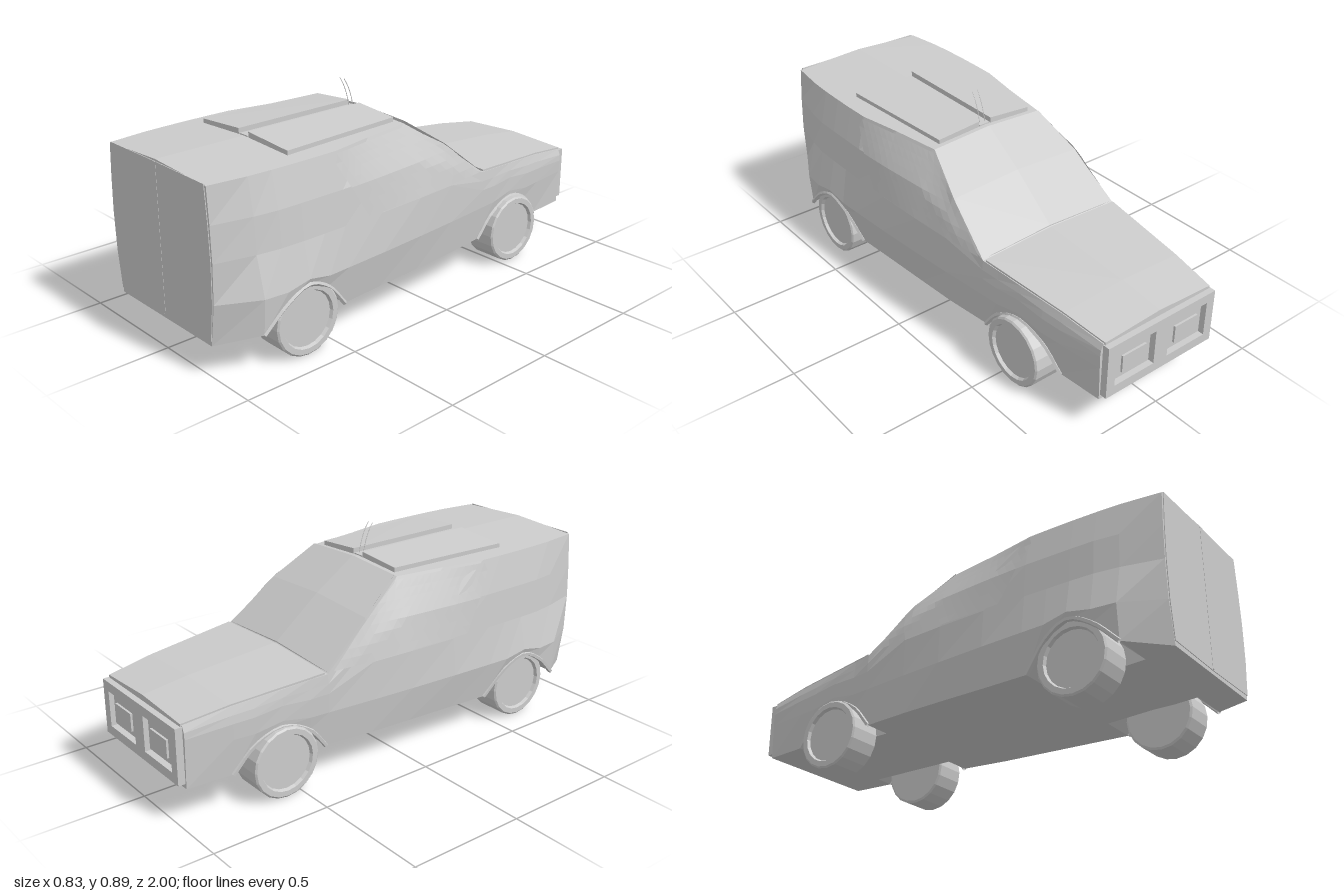
import * as THREE from 'three';
import { ConvexGeometry } from 'three/addons/geometries/ConvexGeometry.js';
import { ParametricGeometry } from 'three/addons/geometries/ParametricGeometry.js';

const flat = new THREE.MeshStandardMaterial({ color: 0xcccccc, flatShading: true, side: THREE.DoubleSide });
const smooth = new THREE.MeshStandardMaterial({ color: 0xcccccc, side: THREE.DoubleSide });
const V = (x, y, z) => new THREE.Vector3(x, y, z);
const lerp = THREE.MathUtils.lerp;

// body stations: z, floor y, arch y, half widths (sill, bulge, belt, shoulder, roof edge), top y
const stations = [
  [-0.97, 0.15, 0.15, 0.28, 0.285, 0.287, 0.285, 0.275, 0.42],
  [-0.78, 0.15, 0.15, 0.295, 0.308, 0.31, 0.305, 0.295, 0.445],
  [-0.69, 0.15, 0.25, 0.31, 0.318, 0.32, 0.315, 0.305, 0.452],
  [-0.57, 0.15, 0.295, 0.325, 0.328, 0.328, 0.325, 0.318, 0.46],
  [-0.45, 0.15, 0.245, 0.328, 0.338, 0.34, 0.335, 0.33, 0.468],
  [-0.37, 0.15, 0.15, 0.325, 0.345, 0.347, 0.345, 0.34, 0.475],
  [-0.16, 0.147, 0.147, 0.345, 0.365, 0.36, 0.345, 0.315, 0.635],
  [0.03, 0.145, 0.145, 0.355, 0.38, 0.372, 0.342, 0.268, 0.76],
  [0.25, 0.142, 0.142, 0.365, 0.395, 0.38, 0.36, 0.3, 0.76],
  [0.44, 0.14, 0.14, 0.375, 0.405, 0.383, 0.37, 0.335, 0.76],
  [0.54, 0.145, 0.25, 0.395, 0.41, 0.383, 0.37, 0.337, 0.76],
  [0.64, 0.15, 0.295, 0.405, 0.415, 0.383, 0.37, 0.337, 0.76],
  [0.74, 0.15, 0.25, 0.405, 0.415, 0.38, 0.368, 0.335, 0.76],
  [0.84, 0.155, 0.155, 0.395, 0.405, 0.365, 0.355, 0.33, 0.76],
  [1, 0.13, 0.13, 0.295, 0.32, 0.325, 0.32, 0.31, 0.76],
];

// right half of a cross-section, from floor centre to roof centre
function halfSection([z, floor, arch, w0, w1, w2, w3, wt, top]) {
  const edge = top - 0.015, y1 = Math.max(0.3, arch + 0.025);
  const y2 = Math.min(0.46, lerp(y1, edge, 0.5)), y3 = lerp(y2, edge, 0.5);
  return [[0, floor], [0.21, floor], [0.21, arch], [w0, arch], [w1, y1], [w2, y2], [w3, y3], [wt, edge], [0, top]]
    .map(([x, y]) => V(x, y, z));
}
const halves = stations.map(halfSection);

// half width of the body side at a given z and y
function sideX(z, y) {
  let j = 0;
  while (j < stations.length - 2 && stations[j + 1][0] < z) j++;
  const t = (z - stations[j][0]) / (stations[j + 1][0] - stations[j][0]);
  const pts = halves[j].slice(3, 8).map((p, i) => p.clone().lerp(halves[j + 1][i + 3], t));
  let i = 0;
  while (i < 3 && pts[i + 1].y < y) i++;
  const k = THREE.MathUtils.clamp((y - pts[i].y) / (pts[i + 1].y - pts[i].y), 0, 1);
  return lerp(pts[i].x, pts[i + 1].x, k);
}

// loft the cross-sections and cap both ends
function bodyGeometry() {
  const rings = halves.map(h => [...h, ...h.slice(1, 8).reverse().map(p => V(-p.x, p.y, p.z))]);
  const n = rings[0].length, verts = rings.flat(), index = [];
  for (let j = 0; j < rings.length - 1; j++) for (let i = 0; i < n; i++) {
    const a = j * n + i, b = j * n + (i + 1) % n;
    index.push(a, b, a + n, b, b + n, a + n);
  }
  const last = (rings.length - 1) * n;
  verts.push(V(0, 0.3, -0.97), V(0, 0.45, 1));
  for (let i = 0; i < n; i++) {
    const k = (i + 1) % n;
    index.push(verts.length - 2, k, i, verts.length - 1, last + i, last + k);
  }
  const g = new THREE.BufferGeometry().setFromPoints(verts);
  g.setIndex(index);
  g.computeVertexNormals();
  return g;
}

export function createModel() {
  const model = new THREE.Group();
  const add = (name, geometry, material = flat, parent = model) => {
    const m = new THREE.Mesh(geometry, material);
    m.name = name;
    parent.add(m);
    return m;
  };
  const hull = (name, pts) => add(name, new ConvexGeometry(pts.map(p => V(...p))));
  const both = pts => pts.flatMap(([x, y, z]) => [[x, y, z], [-x, y, z]]);

  add('body', bodyGeometry());

  // bonnet and windscreen, slightly proud of the body
  hull('bonnet', [...both([[0.27, 0.411, -0.975], [0.27, 0.39, -0.975], [0.292, 0.437, -0.78],
    [0.335, 0.467, -0.38], [0.335, 0.44, -0.38]]), [0, 0.425, -0.975], [0, 0.45, -0.78], [0, 0.48, -0.38]]);
  hull('windscreen', [...both([[0.332, 0.465, -0.367], [0.31, 0.629, -0.163], [0.262, 0.752, 0.02],
    [0.25, 0.735, 0.02]]), [0, 0.482, -0.367], [0, 0.644, -0.163], [0, 0.765, 0.02]]);

  // front panel with two recessed lamps
  const panel = new THREE.Shape([[-0.275, 0.17], [0.275, 0.17], [0.275, 0.4], [-0.275, 0.4]].map(p => new THREE.Vector2(...p)));
  for (const s of [-1, 1]) {
    const x = s * 0.135;
    panel.holes.push(new THREE.Path([[x - 0.1, 0.21], [x - 0.1, 0.36], [x + 0.1, 0.36], [x + 0.1, 0.21]].map(p => new THREE.Vector2(...p))));
    add('lampSurround', new THREE.BoxGeometry(0.17, 0.12, 0.02)).position.set(x, 0.285, -0.976);
    add('lamp', new THREE.BoxGeometry(0.12, 0.075, 0.03)).position.set(x, 0.285, -0.98);
  }
  add('frontPanel', new THREE.ExtrudeGeometry(panel, { depth: 0.032, bevelEnabled: false })).position.z = -1;

  // wheel profile: tyre with a sunken hub
  const wheelGeometry = new THREE.LatheGeometry([[0, -0.07], [0.138, -0.07], [0.147, -0.065], [0.147, 0.065], [0.14, 0.071],
    [0.118, 0.071], [0.112, 0.058], [0, 0.058]].map(p => new THREE.Vector2(...p)), 20);

  for (const s of [-1, 1]) {
    const side = s > 0 ? 'left' : 'right';

    // wheels
    for (const [name, x, z] of [['Front', 0.285, -0.57], ['Rear', 0.327, 0.64]]) {
      const wheel = add(side + name + 'Wheel', wheelGeometry);
      wheel.position.set(s * x + 0.006, 0.15, z);
      wheel.rotation.z = -s * Math.PI / 2;
    }

    // wheel arch lips
    for (const [name, from] of [['Front', 1], ['Rear', 9]]) {
      const path = new THREE.CatmullRomCurve3(halves.slice(from, from + 5).map(h => V(s * h[3].x, h[3].y, h[3].z)));
      add(side + name + 'ArchLip', new THREE.TubeGeometry(path, 14, 0.01, 5));
    }

    // side window following the body
    add(side + 'Window', new ParametricGeometry((u, v, target) => {
      const y = lerp(0.465, 0.735, v);
      const front = lerp(-0.345, -0.165, Math.min(v * 1.7, 1)) + Math.max(0, v - 0.588) * 0.46;
      const z = lerp(front, lerp(0.32, 0.475, v), u);
      target.set(s * (sideX(z, y) + 0.004), y, z);
    }, 14, 8));

    // roof hatch
    hull(side + 'RoofHatch', [[0.03, 0.05, 0.23], [0.03, 0.61, 0.262]].flatMap(([x, z, w]) =>
      [[s * x, 0.782, z], [s * x, 0.755, z], [s * w, 0.766, z], [s * w, 0.745, z]]));

    // rear door
    hull(side + 'RearDoor', [0.998, 1.003].flatMap(z => [[0.004, 0.145], [0.296, 0.15], [0.314, 0.3],
      [0.318, 0.46], [0.312, 0.6], [0.3, 0.75], [0.004, 0.752]].map(([x, y]) => [s * x, y, z])));

    // curved aerial
    const curve = new THREE.QuadraticBezierCurve3(V(s * 0.013, 0.755, 0.065), V(s * 0.013, 0.845, 0.08), V(s * 0.013, 0.89, 0.115));
    add(side + 'Aerial', new THREE.TubeGeometry(curve, 10, 0.0015, 5), smooth);
  }

  // roof channel and rear door seam strip
  add('roofChannel', new THREE.BoxGeometry(0.05, 0.012, 0.56)).position.set(0, 0.758, 0.33);
  add('doorSeam', new THREE.BoxGeometry(0.01, 0.6, 0.004)).position.set(0, 0.45, 1.002);
  return model;
}
